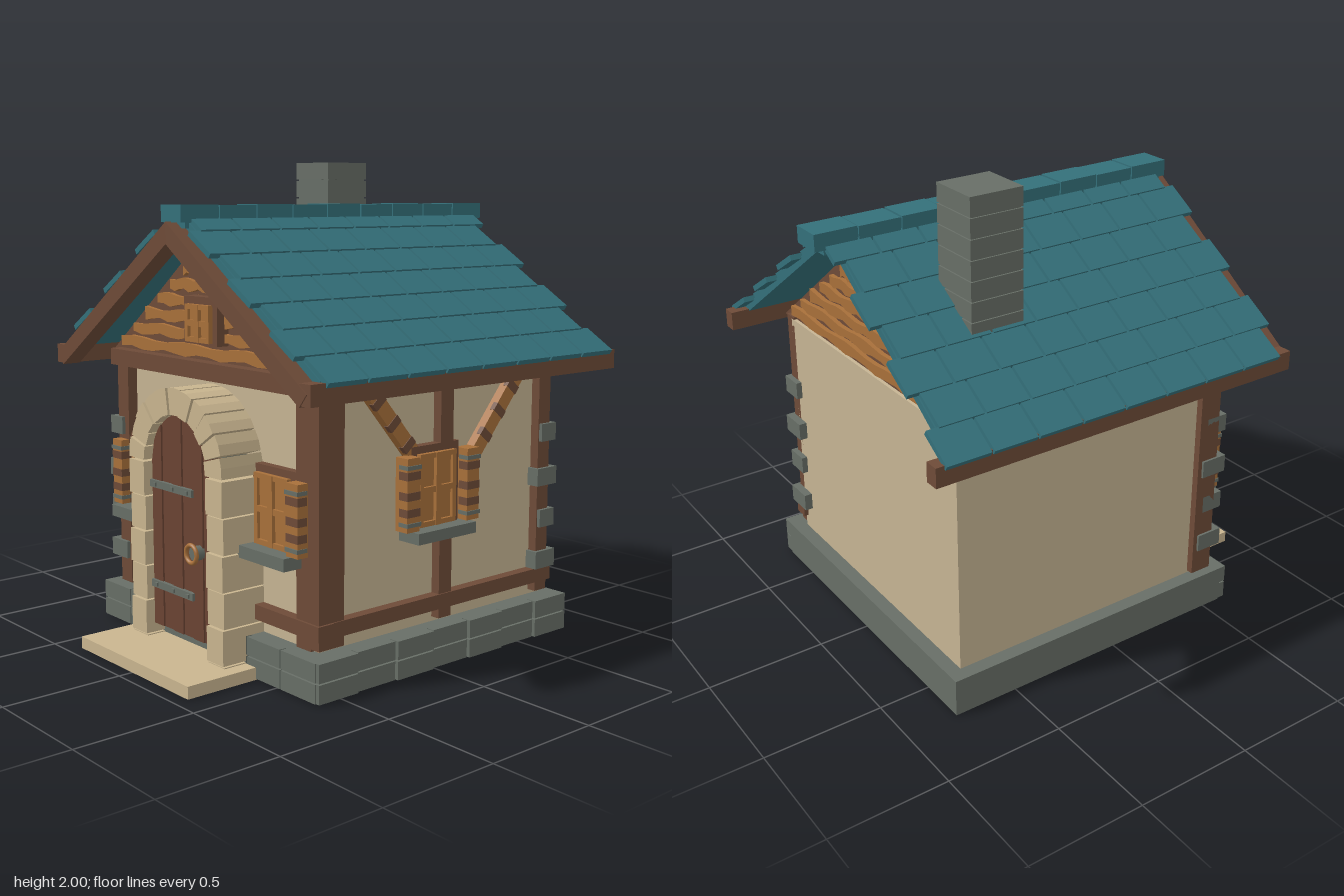
import * as THREE from 'three';
import { mergeGeometries } from 'three/addons/utils/BufferGeometryUtils.js';

const mat = (name, color) => {
  const m = new THREE.MeshStandardMaterial({ color });
  m.name = name;
  return m;
};

export function createModel() {
  const plaster = mat('plaster', 0xc6b493), sand = mat('sandstone', 0xc9b58f);
  const brown = mat('dark timber', 0x6e4b38), orange = mat('light timber', 0xa8703a);
  const doorWood = mat('door wood', 0x6a4433), grey = mat('grey stone', 0x676e66);
  const teal = mat('roof tile', 0x34707a);
  const root = new THREE.Group();
  root.name = 'cottage';

  const add = (name, geo, m, parent = root) => {
    const mesh = new THREE.Mesh(geo, m);
    mesh.name = name;
    parent.add(mesh);
    return mesh;
  };
  // box from its limits
  const boxGeo = (x0, x1, y0, y1, z0, z1) =>
    new THREE.BoxGeometry(x1 - x0, y1 - y0, z1 - z0).translate((x0 + x1) / 2, (y0 + y1) / 2, (z0 + z1) / 2);
  const box = (name, m, b, parent) => add(name, boxGeo(...b), m, parent);
  // polygon in x,y extruded from z0 to z1
  const prismGeo = (pts, z0, z1) => new THREE.ExtrudeGeometry(
    new THREE.Shape(pts.map(p => new THREE.Vector2(...p))),
    { depth: z1 - z0, bevelEnabled: false }).translate(0, 0, z0);
  const prism = (name, m, pts, z0, z1, parent) => add(name, prismGeo(pts, z0, z1), m, parent);

  // walls and foundation
  box('walls', plaster, [-0.65, 0.65, 0.15, 1.19, -0.72, 0.53]);
  box('foundation', grey, [-0.71, 0.71, 0, 0.16, -0.78, 0.59]);
  const blocks = [];
  for (const [y0, y1] of [[0.005, 0.08], [0.086, 0.16]]) {
    for (let i = 0; i < 7; i++) {
      const a = -0.71 + i * 0.207, b = -0.78 + i * 0.2;
      blocks.push(boxGeo(a, a + 0.201, y0, y1, 0.55, 0.62));
      blocks.push(boxGeo(0.68, i % 2 ? 0.74 : 0.75, y0, y1, b, b + 0.194));
    }
  }
  add('foundationBlocks', mergeGeometries(blocks), grey);
  box('doorstep', sand, [-0.38, 0.38, 0, 0.05, 0.6, 0.94]);

  // timber frame
  for (const [n, ...b] of [
    ['frontPost', -0.64, -0.56, 0.17, 1.14, 0.5, 0.575],
    ['frontPost', 0.56, 0.645, 0.17, 1.14, 0.5, 0.565],
    ['cornerPost', 0.63, 0.69, 0.18, 1.14, 0.44, 0.565],
    ['sidePost', 0.63, 0.69, 0.18, 1.16, -0.135, -0.065],
    ['backPost', 0.63, 0.69, 0.18, 1.16, -0.72, -0.65],
    ['cornerPostLeft', -0.68, -0.62, 0.17, 1.16, 0.45, 0.55],
    ['frontSill', -0.62, -0.3, 0.22, 0.28, 0.5, 0.56],
    ['frontSill', 0.3, 0.7, 0.22, 0.28, 0.5, 0.575],
    ['sideSill', 0.63, 0.695, 0.22, 0.28, -0.74, 0.575],
    ['tieBeam', -0.67, 0.69, 1.13, 1.2, 0.5, 0.59],
    ['sideTopBeam', 0.63, 0.69, 1.13, 1.2, -0.72, 0.55]]) box(n, brown, b);

  // corner stones on two opposite corners
  [0.28, 0.46, 0.64, 0.83].forEach((y, i) => {
    const d = i % 2 ? 0.02 : 0;
    box('cornerStone', grey, [-0.69 + d / 2, -0.57 - d, y, y + 0.075, 0.47 + d, 0.59]);
    box('cornerStone', grey, [0.58 + d, 0.705, y, y + 0.075, -0.755 + d / 2, -0.635 - d]);
  });

  // diagonal braces with darker bands
  for (const [za, ya, zb, yb] of [[0.32, 1.15, 0.06, 0.85], [-0.54, 1.15, -0.27, 0.83]]) {
    const brace = new THREE.Group();
    brace.name = 'brace';
    const len = Math.hypot(zb - za, yb - ya);
    box('braceBeam', orange, [-0.02, 0.02, -len / 2, len / 2, -0.03, 0.03], brace);
    for (let k = -1; k <= 1; k++)
      box('braceBand', brown, [0, 0.023, k * 0.12 - 0.02, k * 0.12 + 0.015, -0.032, 0.032], brace);
    brace.position.set(0.67, (ya + yb) / 2, (za + zb) / 2);
    brace.rotation.x = Math.atan2(za - zb, ya - yb);
    root.add(brace);
  }

  // casement window facing +z; shutters lists the sides that carry one
  const windowUnit = (w, h, shutters, frame = 0.03) => {
    const g = new THREE.Group();
    g.name = 'window';
    box('frame', brown, [-w - frame, w + frame, -h - 0.01, h + frame, -0.02, 0.035], g);
    box('panes', orange, [-w, w, -h, h, 0, 0.042], g);
    box('mullion', orange, [-0.014, 0.014, -h, h, 0, 0.058], g);
    box('crossbar', orange, [-w, w, -0.012, 0.012, 0, 0.055], g);
    for (const s of [-1, 1]) {
      box('casementSide', orange, [s * (w - 0.01) - 0.01, s * (w - 0.01) + 0.01, -h, h, 0, 0.055], g);
      box('casementRail', orange, [-w, w, s * (h - 0.01) - 0.01, s * (h - 0.01) + 0.01, 0, 0.055], g);
    }
    for (const s of shutters) {
      const c = s * (w + frame + 0.035);
      box('shutter', orange, [c - 0.034, c + 0.034, -h, h, 0.02, 0.085], g);
      for (const y of [-0.45, 0, 0.55])
        box('shutterGrain', brown, [c - 0.035, c + 0.035, y * h - 0.02, y * h + 0.012, 0.04, 0.087], g);
      for (const y of [-0.8, 0.75])
        box('shutterHinge', grey, [c - 0.037, c + 0.037, y * h - 0.008, y * h + 0.008, 0.04, 0.09], g);
    }
    root.add(g);
    return g;
  };
  for (const s of [-1, 1]) {
    windowUnit(0.1, 0.14, [s]).position.set(s * 0.43, 0.67, 0.53);
    box('windowSill', grey, [s * 0.45 - 0.14, s * 0.45 + 0.14, 0.48, 0.53, 0.52, 0.65]);
  }
  const side = windowUnit(0.1, 0.145, [-1, 1]);
  side.position.set(0.655, 0.72, -0.035);
  side.rotation.y = Math.PI / 2;
  box('windowSill', grey, [0.64, 0.76, 0.525, 0.57, -0.2, 0.12]);
  windowUnit(0.08, 0.075, []).position.set(0, 1.355, 0.555);

  // stone doorway: jambs and arch
  const stones = [];
  for (const s of [-1, 1]) for (let i = 0; i < 6; i++) {
    const y = i === 0 ? 0 : 0.06 + (i - 1) * 0.146, top = 0.054 + i * 0.146;
    stones.push(boxGeo(s * 0.265 - 0.053, s * 0.265 + 0.053, y, top, 0.52, i % 2 ? 0.73 : 0.724));
  }
  const N = 11, arc = (r, a) => [r * Math.cos(a), 0.79 + r * Math.sin(a)];
  for (let i = 0; i < N; i++) {
    const a = (i * Math.PI) / N + 0.012, b = ((i + 1) * Math.PI) / N - 0.012;
    stones.push(prismGeo([arc(0.212, a), arc(0.318, a), arc(0.32, (a + b) / 2), arc(0.318, b), arc(0.212, b)],
      0.52, i % 2 ? 0.724 : 0.73));
  }
  add('doorwayStones', mergeGeometries(stones.map(g => g.index ? g.toNonIndexed() : g)), sand);
  const arch = [[-0.225, 0.05], [0.225, 0.05]];
  for (let i = 0; i <= 16; i++) arch.push(arc(0.225, (i * Math.PI) / 16));
  prism('doorBacking', grey, arch, 0.52, 0.64);

  // plank door
  for (let i = 0; i < 6; i++) {
    const x0 = -0.21 + i * 0.07, x1 = x0 + 0.066;
    const top = x => 0.79 + Math.sqrt(Math.max(0, 0.21 ** 2 - x * x));
    const pts = [[x0, 0.1], [x1, 0.1]];
    for (let k = 0; k <= 4; k++) { const x = x1 + ((x0 - x1) * k) / 4; pts.push([x, top(x)]); }
    prism('doorPlank', doorWood, pts, 0.62, i % 2 ? 0.685 : 0.69);
  }
  for (const y of [0.26, 0.68]) {
    box('doorHinge', grey, [-0.21, 0.08, y, y + 0.03, 0.66, 0.702]);
    for (const x of [-0.17, -0.05, 0.05]) box('hingeStud', grey, [x - 0.008, x + 0.008, y + 0.007, y + 0.023, 0.69, 0.71]);
  }
  add('handlePlate', new THREE.CylinderGeometry(0.03, 0.03, 0.04, 12).rotateX(Math.PI / 2), grey)
    .position.set(0.115, 0.465, 0.7);
  add('handleRing', new THREE.TorusGeometry(0.036, 0.009, 8, 20), orange).position.set(0.115, 0.465, 0.73);

  // gables: dark triangle with wavy planks, front and back
  const gable = (z, dir) => {
    const g = new THREE.Group();
    g.name = 'gable';
    prism('gableBacking', brown, [[-0.74, 1.18], [0.74, 1.18], [0, 1.735]], -0.04, 0, g);
    for (let r = 0; r < 7; r++) {
      const y = 1.2 + r * 0.066, hw = (1.69 - y - 0.045) / 0.7, pts = [];
      for (let k = 0; k <= 16; k++)
        pts.push([-hw + (2 * hw * k) / 16, y + 0.012 + 0.008 * Math.sin(k * 1.9 + r * 2.3)]);
      for (let k = 16; k >= 0; k--)
        pts.push([-hw + (2 * hw * k) / 16, y + 0.056 + 0.007 * Math.sin(k * 1.3 + r * 4.1)]);
      prism('gablePlank', orange, pts, -0.01, 0.02, g);
    }
    g.position.z = z;
    if (dir < 0) g.rotation.y = Math.PI;
    root.add(g);
  };
  gable(0.535, 1);
  gable(-0.705, -1);

  // roof: slab, staggered tiles, eaves and bargeboards on each side
  const slope = 0.69, pitch = Math.atan(slope), T = x => 1.815 - slope * x;
  for (const s of [-1, 1]) {
    const mirror = pts => pts.map(([x, y]) => [s * x, y]);
    prism('roofSlab', teal, mirror([[0, T(0) - 0.06], [0.83, T(0.83) - 0.06], [0.83, T(0.83) - 0.024], [0, T(0) - 0.024]]),
      -0.85, 0.68);
    const tiles = [];
    for (let i = 0; i < 7; i++) {
      const x = 0.86 - (i + 0.5) * 0.123, z0 = i % 2 ? -0.85 : -0.9;
      for (let k = 0; k < 8; k++) {
        const t = new THREE.BoxGeometry(0.156, 0.022, 0.1865);
        t.rotateZ(-s * (pitch - 0.05));
        t.translate(s * x, T(x) - 0.016, z0 + (k + 0.5) * 0.1975);
        tiles.push(t);
      }
    }
    add('roofTiles', mergeGeometries(tiles), teal);
    box('eaveBeam', brown, [s * 0.825 - 0.03, s * 0.825 + 0.03, 1.135, 1.215, -0.93, 0.745]);
    prism('bargeboard', brown, mirror([[0, 1.67], [0.8, 1.13], [0.84, 1.18], [0, 1.755]]), 0.67, 0.75);
  }
  for (let i = 0; i < 9; i++) {
    const z = -0.94 + i * 0.1856, d = i % 2 ? 0.003 : 0;
    box('ridgeCap', teal, [-0.067, 0.067, 1.752, 1.82 - d, z, z + 0.179]);
  }
  box('ridgeCore', teal, [-0.06, 0.06, 1.73, 1.81, -0.9, 0.7]);

  // chimney courses around a core
  box('chimneyCore', grey, [-0.483, -0.277, 1.35, 1.99, -0.533, -0.317]);
  for (let i = 0; i < 8; i++) {
    const y = 2 - i * 0.08;
    box('chimneyCourse', grey, [-0.49, -0.27, y - 0.074, y, -0.54, -0.31]);
  }
  return root;
}
